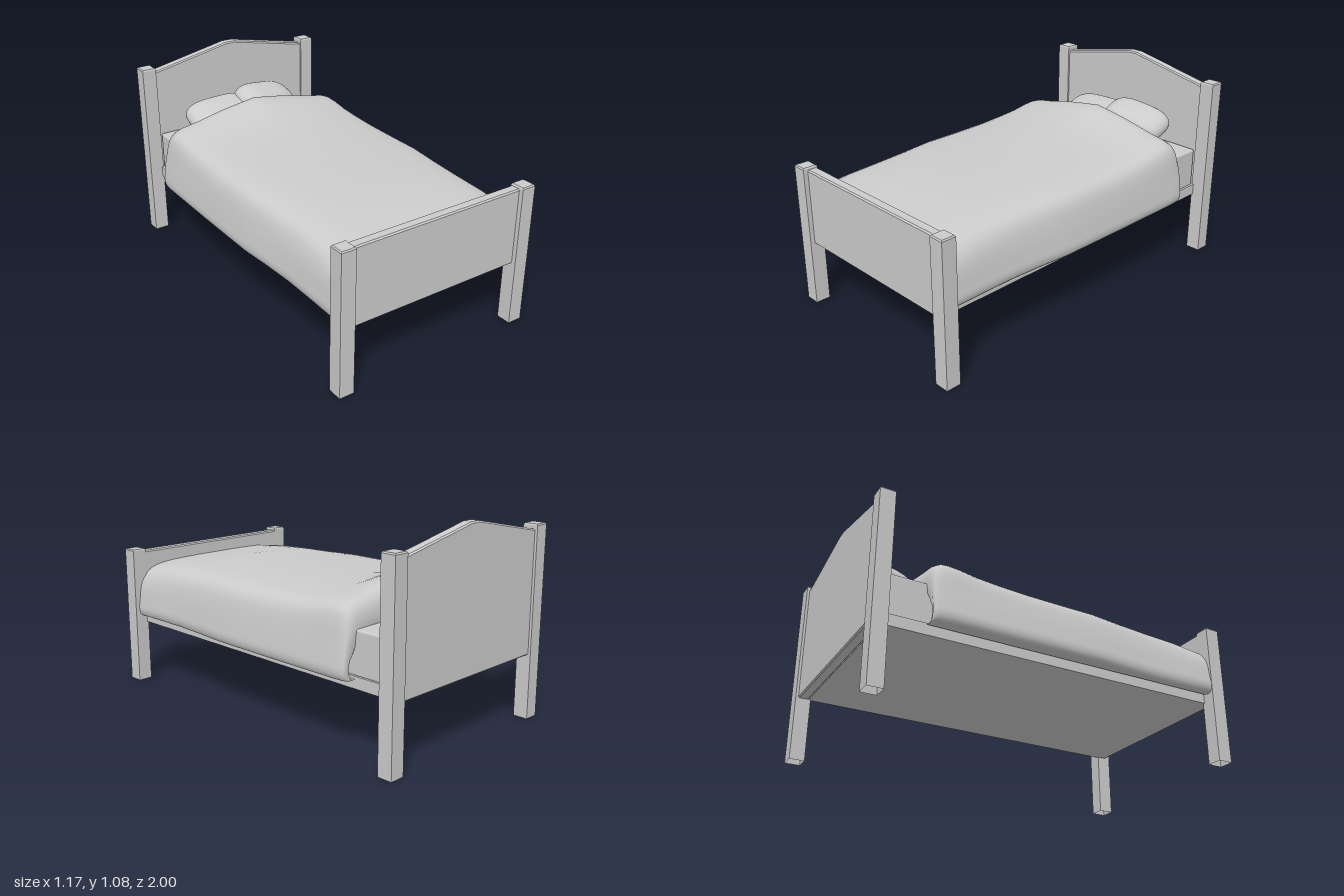
import * as THREE from 'three';
import { mergeVertices } from 'three/addons/utils/BufferGeometryUtils.js';
import { RoundedBoxGeometry } from 'three/addons/geometries/RoundedBoxGeometry.js';

const CX = 0.01; // the frame's middle in x
const flat = new THREE.MeshStandardMaterial({ color: 0xcccccc, flatShading: true, side: THREE.DoubleSide });
const smooth = new THREE.MeshStandardMaterial({ color: 0xcccccc, side: THREE.DoubleSide });

function add(parent, name, geometry, material, x = 0, y = 0, z = 0) {
  const mesh = new THREE.Mesh(geometry, material);
  mesh.name = name;
  mesh.position.set(x, y, z);
  parent.add(mesh);
  return mesh;
}

// Square post with a chamfered top and an open foot
function postGeometry(height) {
  const r = 0.04 * Math.SQRT2, c = 0.007;
  const profile = [[r, 0], [r, height - c], [r - c, height], [0, height]];
  return new THREE.LatheGeometry(profile.map(p => new THREE.Vector2(...p)), 4, Math.PI / 4);
}

// Upright board with softly chamfered edges; outline is in x, y
function boardGeometry(outline, depth) {
  const b = 0.007;
  const shape = new THREE.Shape(outline.map(p => new THREE.Vector2(...p)));
  const g = new THREE.ExtrudeGeometry(shape, {
    depth: depth - 2 * b, bevelEnabled: true, bevelThickness: b, bevelSize: b, bevelOffset: -b, bevelSegments: 1,
  });
  return g.translate(0, 0, b - depth / 2);
}

// Half of the blanket's cross-section, from the middle to the tucked hem
function halfSection(w, top, shoulder) {
  const mid = (top + shoulder) / 2;
  const pts = [
    [0, top], [0.2, mid + 0.004], [0.38, shoulder], [w - 0.085, shoulder - 0.025],
    [w - 0.045, shoulder - 0.065], [w - 0.02, Math.min(0.56, shoulder - 0.11)],
    [w - 0.005, 0.47], [w, 0.42], [w - 0.015, 0.385], [0.5, 0.387],
  ];
  const curve = new THREE.CatmullRomCurve3(pts.map(p => new THREE.Vector3(p[0], p[1], 0)), false, 'centripetal');
  return curve.getPoints(27);
}

// Blanket lofted from foot to head; each station is z, half width, crest, shoulder
function blanketGeometry() {
  const stations = [
    [0.92, 0.557, 0.68, 0.67], [0.75, 0.555, 0.70, 0.69], [0.56, 0.555, 0.72, 0.70],
    [0.38, 0.565, 0.722, 0.705], [0.2, 0.58, 0.722, 0.71], [0, 0.582, 0.724, 0.71],
    [-0.2, 0.584, 0.733, 0.712], [-0.35, 0.584, 0.746, 0.72], [-0.47, 0.584, 0.765, 0.73],
    [-0.56, 0.584, 0.802, 0.745], [-0.62, 0.584, 0.818, 0.75], [-0.655, 0.582, 0.818, 0.748],
    [-0.685, 0.58, 0.79, 0.73], [-0.702, 0.575, 0.735, 0.695], [-0.712, 0.565, 0.66, 0.645],
    [-0.705, 0.54, 0.61, 0.605],
  ];
  const pos = [], index = [];
  let n = 0;
  for (const [z, w, top, shoulder] of stations) {
    const half = halfSection(w, top, shoulder);
    const row = [...half.slice(1).reverse().map(p => [-p.x, p.y]), ...half.map(p => [p.x, p.y])];
    n = row.length;
    for (const [x, y] of row) pos.push(x, y, z);
  }
  for (let i = 0; i < stations.length - 1; i++) {
    for (let j = 0; j < n - 1; j++) {
      const a = i * n + j, c = a + n;
      index.push(a, a + 1, c, a + 1, c + 1, c);
    }
  }
  const g = new THREE.BufferGeometry();
  g.setAttribute('position', new THREE.Float32BufferAttribute(pos, 3));
  g.setIndex(index);
  g.computeVertexNormals();
  return g;
}

// Pillow: a sphere squared off in plan
function pillowGeometry(hx, hy, hz) {
  let g = new THREE.SphereGeometry(1, 32, 18);
  g.deleteAttribute('uv');
  g.deleteAttribute('normal');
  const p = g.attributes.position;
  const square = v => Math.sign(v) * Math.pow(Math.abs(v) < 1e-6 ? 0 : Math.abs(v), 0.6);
  for (let i = 0; i < p.count; i++) {
    p.setXYZ(i, hx * square(p.getX(i)), hy * p.getY(i), hz * square(p.getZ(i)));
  }
  g = mergeVertices(g, 1e-5);
  g.computeVertexNormals();
  return g;
}

export function createModel() {
  const bed = new THREE.Group();
  bed.name = 'bed';

  // Corner posts
  for (const [side, s] of [['left', 1], ['right', -1]]) {
    add(bed, side + 'HeadPost', postGeometry(1.01), flat, CX + s * 0.53, 0, -0.96);
    add(bed, side + 'FootPost', postGeometry(0.765), flat, CX + s * 0.53, 0, 0.96);
  }

  // Headboard with a gabled top, and a straight footboard
  const w = 0.5;
  add(bed, 'headboard', boardGeometry(
    [[-w, 0.34], [w, 0.34], [w, 0.983], [0.03, 1.078], [-0.03, 1.078], [-w, 0.983]], 0.056), flat, CX, 0, -0.958);
  add(bed, 'footboard', boardGeometry([[-w, 0.34], [w, 0.34], [w, 0.752], [-w, 0.752]], 0.056), flat, CX, 0, 0.948);

  // Base and mattress
  add(bed, 'base', new THREE.BoxGeometry(1.0, 0.06, 1.86), flat, CX, 0.37, 0);
  add(bed, 'mattress', new RoundedBoxGeometry(0.98, 0.22, 1.82, 2, 0.012), smooth, CX, 0.505, -0.005);

  // Bedding
  add(bed, 'blanket', blanketGeometry(), smooth);
  const rightPillow = add(bed, 'rightPillow', pillowGeometry(0.205, 0.072, 0.115), smooth, -0.14, 0.705, -0.808);
  rightPillow.rotation.set(0.3, 0, 0.05);
  const leftPillow = add(bed, 'leftPillow', pillowGeometry(0.19, 0.075, 0.115), smooth, 0.16, 0.735, -0.805);
  leftPillow.rotation.set(0.3, 0.08, -0.18);

  return bed;
}
